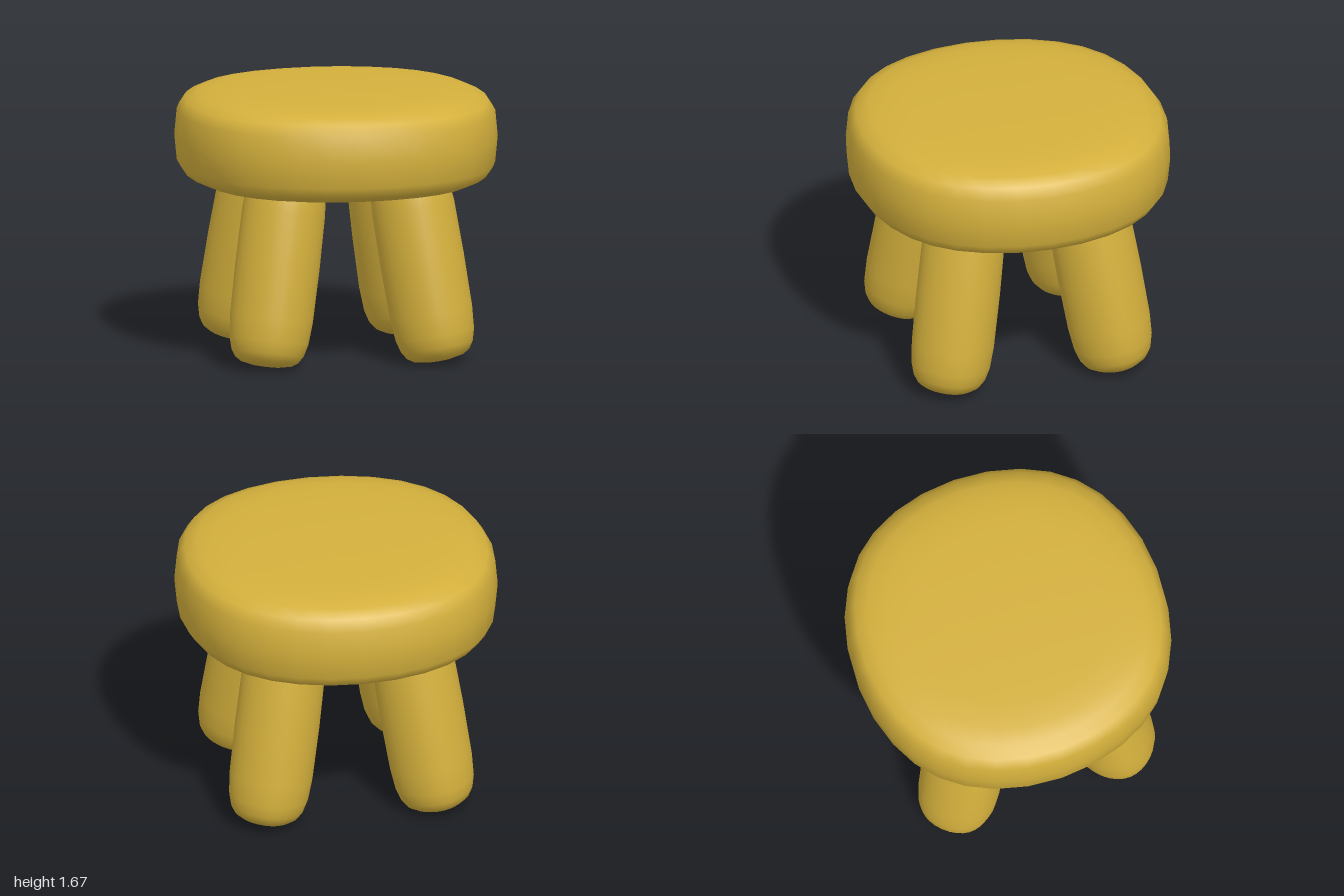
import * as THREE from 'three';
import { mergeVertices } from 'three/addons/utils/BufferGeometryUtils.js';

// Soft, pillow-edged cylinder of unit radius and unit half-height
function softCylinder() {
  const upper = [[1, 0], [0.985, 0.52], [0.94, 0.74], [0.86, 0.86], [0.75, 0.93], [0.6, 0.97], [0.3, 0.995], [0, 1]];
  const lower = upper.slice(1).reverse().map(([r, t]) => [r, -t]);
  const profile = [...lower, ...upper].map(([r, t]) => new THREE.Vector2(r, t));
  let geo = new THREE.LatheGeometry(profile, 32);

  // Swell the outline slightly towards the diagonals
  const pos = geo.attributes.position;
  for (let i = 0; i < pos.count; i++) {
    const x = pos.getX(i), z = pos.getZ(i);
    const a = Math.atan2(z, x);
    const r = Math.hypot(x, z) * (1 + 0.036 * Math.sin(2 * a) ** 2);
    const b = a + 0.034 * Math.sin(4 * a);
    pos.setX(i, r * Math.cos(b));
    pos.setZ(i, r * Math.sin(b));
  }

  // Weld the seam so the shading is smooth all round
  geo.deleteAttribute('uv');
  geo.deleteAttribute('normal');
  geo = mergeVertices(geo, 1e-4);
  geo.computeVertexNormals();
  return geo;
}

export function createModel() {
  const model = new THREE.Group();
  model.name = 'stool';

  const mustard = new THREE.MeshStandardMaterial({ color: 0xd4b03c });
  mustard.name = 'mustard yellow';
  const soft = softCylinder();

  // Thick round seat
  const seat = new THREE.Mesh(soft, mustard);
  seat.name = 'seat';
  seat.scale.set(1, 0.31, 1);
  seat.position.y = 1.365;
  model.add(seat);

  // Four stubby legs on the diagonals, splayed outwards
  const names = ['backLeftLeg', 'backRightLeg', 'frontRightLeg', 'frontLeftLeg'];
  names.forEach((name, i) => {
    const pivot = new THREE.Group();
    pivot.name = name;
    pivot.rotation.y = Math.PI / 4 + i * Math.PI / 2;

    const leg = new THREE.Mesh(soft, mustard);
    leg.name = 'leg';
    leg.scale.set(0.255, 0.64, 0.255);
    leg.position.set(0.646, 0.643, 0);
    leg.rotation.z = 0.204;
    pivot.add(leg);
    model.add(pivot);
  });

  return model;
}
